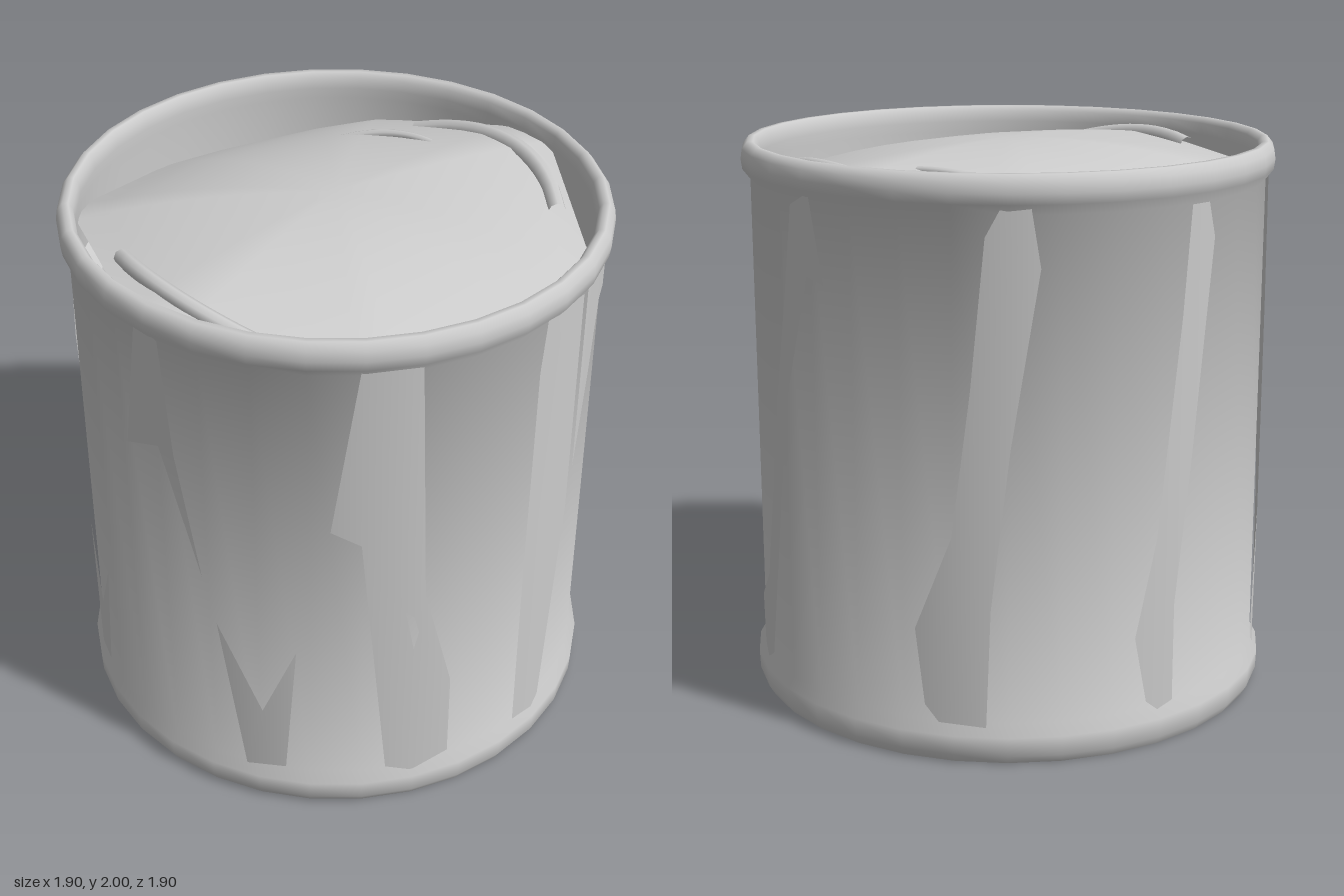
import * as THREE from 'three';
import { toCreasedNormals } from 'three/addons/utils/BufferGeometryUtils.js';

const material = new THREE.MeshStandardMaterial({ color: 0xcccccc });
const doubleSided = new THREE.MeshStandardMaterial({ color: 0xcccccc, side: THREE.DoubleSide });
const SIDES = 32;
const rad = THREE.MathUtils.degToRad;

function add(group, name, geometry, mat = material) {
  const mesh = new THREE.Mesh(geometry, mat);
  mesh.name = name;
  group.add(mesh);
}

// Can wall with bottom bead, rolled top rim and inner wall, turned from one profile
function canGeometry() {
  const profile = [
    [0, 0], [0.925, 0], [0.944, 0.032], [0.947, 0.1], [0.918, 0.14],
    [0.918, 1.87], [0.945, 1.905], [0.95, 1.94], [0.945, 1.975], [0.925, 2],
    [0.905, 2], [0.89, 1.98], [0.886, 1.94], [0.888, 1.9], [0.888, 1.72], [0.82, 1.69],
  ].map(([r, y]) => new THREE.Vector2(r, y));
  return toCreasedNormals(new THREE.LatheGeometry(profile, SIDES), 1.0);
}

// Height of the paint: a dome that falls steeply to front and back, gently to the sides
function paintHeight(r, angle) {
  const drop = 0.165 - 0.1 * Math.cos(2 * (angle + rad(12)));
  return 1.995 - drop * (r / 0.9) ** 2;
}

// Paint surface over an irregular outline of [x, z] corners
const PAINT_EDGE = [
  [0.5, 0.76], [0.755, 0.51], [0.88, -0.24], [0.8, -0.41], [0.41, -0.81], [0.2, -0.885],
  [-0.2, -0.885], [-0.42, -0.8], [-0.8, -0.42], [-0.855, -0.27], [-0.81, 0.4],
  [-0.7, 0.57], [-0.2, 0.89], [-0.05, 0.9],
];
function paintGeometry() {
  const rings = 8, count = PAINT_EDGE.length;
  const positions = [0, paintHeight(0, 0), 0], index = [];
  for (let k = 1; k <= rings; k++) {
    const t = k / rings;
    for (const [x, z] of PAINT_EDGE) {
      positions.push(x * t, paintHeight(Math.hypot(x, z) * t, Math.atan2(z, x)), z * t);
    }
  }
  for (let i = 0; i < count; i++) {
    const j = (i + 1) % count;
    index.push(0, 1 + i, 1 + j);
    for (let k = 0; k < rings - 1; k++) {
      const a = 1 + k * count + i, b = 1 + k * count + j;
      index.push(a, a + count, b, b, a + count, b + count);
    }
  }
  const g = new THREE.BufferGeometry();
  g.setAttribute('position', new THREE.Float32BufferAttribute(positions, 3));
  g.setIndex(index);
  g.computeVertexNormals();
  return g;
}

// Raised curved ridge that follows the paint and sinks into it at both ends
function ridgeGeometry(radius, from, to, thickness) {
  const points = [];
  for (let i = 0; i <= 8; i++) {
    const t = i / 8, a = rad(from + (to - from) * t);
    const y = paintHeight(radius, a) - thickness * (2 * t - 1) ** 2;
    points.push(new THREE.Vector3(radius * Math.cos(a), y, radius * Math.sin(a)));
  }
  return new THREE.TubeGeometry(new THREE.CatmullRomCurve3(points), 16, thickness, 8);
}

// Drip outline given as [degrees around from the front, height], wrapped on the wall
function dripGeometry(outline) {
  const shape = new THREE.Shape(outline.map(([deg, y]) => new THREE.Vector2(rad(deg), y)));
  const g = new THREE.ShapeGeometry(shape);
  const p = g.attributes.position, n = g.attributes.normal;
  for (let i = 0; i < p.count; i++) {
    const a = p.getX(i), y = p.getY(i);
    p.setXYZ(i, 0.93 * Math.sin(a), y, 0.93 * Math.cos(a));
    n.setXYZ(i, Math.sin(a), 0, Math.cos(a));
  }
  return g;
}

const DRIPS = {
  frontRightUpperDrip: [[-60, 1.92], [-54, 1.88], [-51.5, 1.45], [-46, 0.97], [-55.5, 1.46], [-65, 1.4]],
  frontRightLowerDrip: [[-37, 0.14], [-28, 0.16], [-25.3, 0.72], [-33, 0.42], [-43, 0.78]],
  frontDrip: [[0, 0.12], [8.6, 0.17], [8.6, 0.52], [2, 0.95], [0, 1.9], [-12, 1.9],
    [-18, 1.26], [-11.7, 1.2], [-6, 0.16]],
  frontLeftDrip: [[27.4, 0.15], [34.5, 0.13], [36.8, 0.17], [43, 1], [43, 1.88],
    [29.5, 1.9], [28, 1.7], [27.4, 0.9]],
  frontLeftShortDrip: [[45, 1.15], [50, 1.5], [54, 1.76], [57.5, 1.78], [58, 1.86], [55, 1.9], [45, 1.88]],
  leftDrip: [[82.6, 0.35], [84, 0.17], [87, 0.13], [91.5, 0.17], [103, 1.15], [112, 1.62],
    [117, 1.6], [113, 1.9], [107, 1.85], [104, 1.55], [99.5, 1.2], [90, 0.47]],
  backLeftDrip: [[138, 0.47], [140, 0.2], [143, 0.14], [153, 0.13], [154, 0.55], [158, 1.1],
    [164, 1.7], [162, 1.9], [157, 1.92], [153, 1.8], [150, 1.3], [146, 0.8]],
  backDrip: [[185, 0.41], [188, 0.17], [191, 0.13], [195, 0.15], [195, 0.5], [199, 1],
    [204.5, 1.75], [202.5, 1.87], [197.5, 1.87], [195.5, 1.5], [190, 0.75]],
  backRightDrip: [[231, 0.25], [234, 0.13], [245, 0.13], [248, 0.7], [254, 1.42],
    [250, 1.88], [245, 1.88], [242, 1.4], [238, 0.65]],
  rightLowerDrip: [[268, 0.15], [276, 0.17], [280, 0.65], [273, 0.42], [263, 0.68]],
};

export function createModel() {
  const model = new THREE.Group();
  model.name = 'paintCan';

  add(model, 'canBody', canGeometry(), doubleSided);
  add(model, 'paintSurface', paintGeometry(), doubleSided);

  // Ridges showing through the paint
  add(model, 'leftPaintRidge', ridgeGeometry(0.765, -50, 13, 0.03));
  add(model, 'rightPaintRidge', ridgeGeometry(0.765, 122, 174, 0.03));
  add(model, 'innerPaintRidge', ridgeGeometry(0.56, -71, -35, 0.016));

  // Drips down the outside wall
  const drips = new THREE.Group();
  drips.name = 'paintDrips';
  for (const [name, outline] of Object.entries(DRIPS)) {
    add(drips, name, dripGeometry(outline), doubleSided);
  }
  model.add(drips);
  return model;
}
